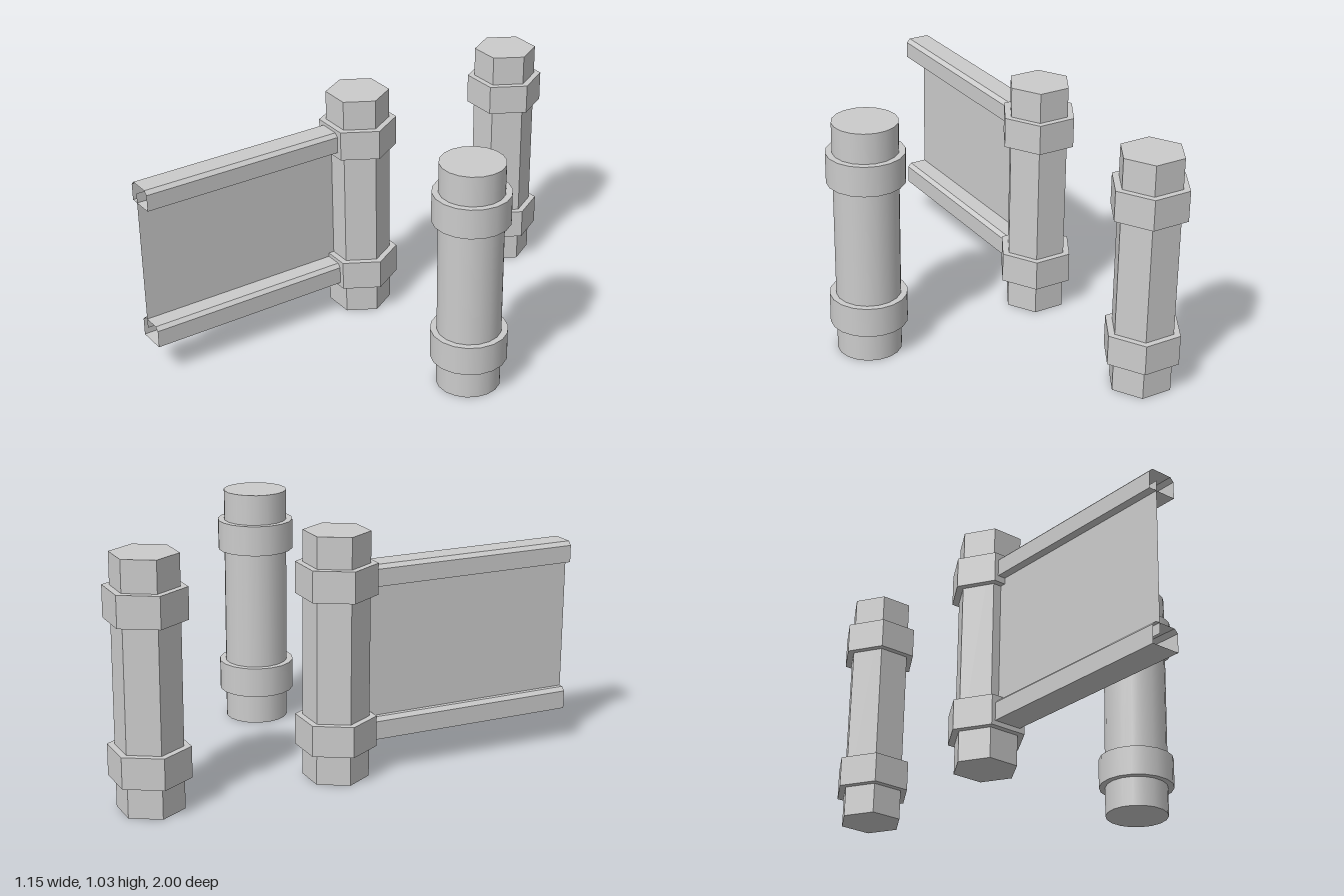
import * as THREE from 'three';

const grey = new THREE.MeshStandardMaterial({ color: 0xcccccc });
const facetedGrey = new THREE.MeshStandardMaterial({ color: 0xcccccc, flatShading: true });
const thinGrey = new THREE.MeshStandardMaterial({ color: 0xcccccc, flatShading: true, side: THREE.DoubleSide });

const POST_HEIGHT = 1.03, COLLAR_HEIGHT = 0.13;
const COLLAR_CENTRES = [0.195, 0.835];

// Upright post with two collars
function makePost(name, sides, radius, collarRadius, material, x, z) {
  const post = new THREE.Group();
  post.name = name;
  const addPrism = (part, r, height, y) => {
    const geometry = new THREE.CylinderGeometry(r, r, height, sides);
    geometry.rotateY(Math.PI / 2); // corners point along x
    const mesh = new THREE.Mesh(geometry, material);
    mesh.name = part;
    mesh.position.y = y;
    post.add(mesh);
  };
  addPrism('shaft', radius, POST_HEIGHT, POST_HEIGHT / 2);
  COLLAR_CENTRES.forEach((y, i) => addPrism(i ? 'upperCollar' : 'lowerCollar', collarRadius, COLLAR_HEIGHT, y));
  post.position.set(x, 0, z);
  return post;
}

// Open-ended hollow rail with chamfered top edges, running along z
function makeRail(name, bottom, top) {
  const left = -0.475, right = -0.35, chamfer = 0.016, z0 = 0.06, z1 = 1;
  const section = [
    [left, bottom], [right, bottom], [right, top - chamfer],
    [right - chamfer, top], [left + chamfer, top], [left, top - chamfer],
  ];
  const positions = [];
  section.forEach(([ax, ay], i) => {
    const [bx, by] = section[(i + 1) % section.length];
    positions.push(ax, ay, z0, bx, by, z0, bx, by, z1);
    positions.push(ax, ay, z0, bx, by, z1, ax, ay, z1);
  });
  const geometry = new THREE.BufferGeometry();
  geometry.setAttribute('position', new THREE.Float32BufferAttribute(positions, 3));
  geometry.computeVertexNormals();
  const rail = new THREE.Mesh(geometry, thinGrey);
  rail.name = name;
  return rail;
}

export function createModel() {
  const model = new THREE.Group();
  model.name = 'fenceKit';

  // Posts: two hexagonal, one round
  model.add(
    makePost('rearHexPost', 6, 0.136, 0.166, facetedGrey, -0.409, -0.856),
    makePost('fenceHexPost', 6, 0.136, 0.166, facetedGrey, -0.409, -0.054),
    makePost('roundPost', 18, 0.136, 0.163, grey, 0.41, -0.05),
  );

  // Fence section: thin panel between two rails
  const fence = new THREE.Group();
  fence.name = 'fenceSection';
  const panel = new THREE.Mesh(new THREE.PlaneGeometry(1, 0.64), thinGrey);
  panel.name = 'panel';
  panel.rotation.y = Math.PI / 2;
  panel.position.set(-0.44, 0.52, 0.5);
  fence.add(panel, makeRail('lowerRail', 0.15, 0.243), makeRail('upperRail', 0.797, 0.885));
  model.add(fence);

  return model;
}
